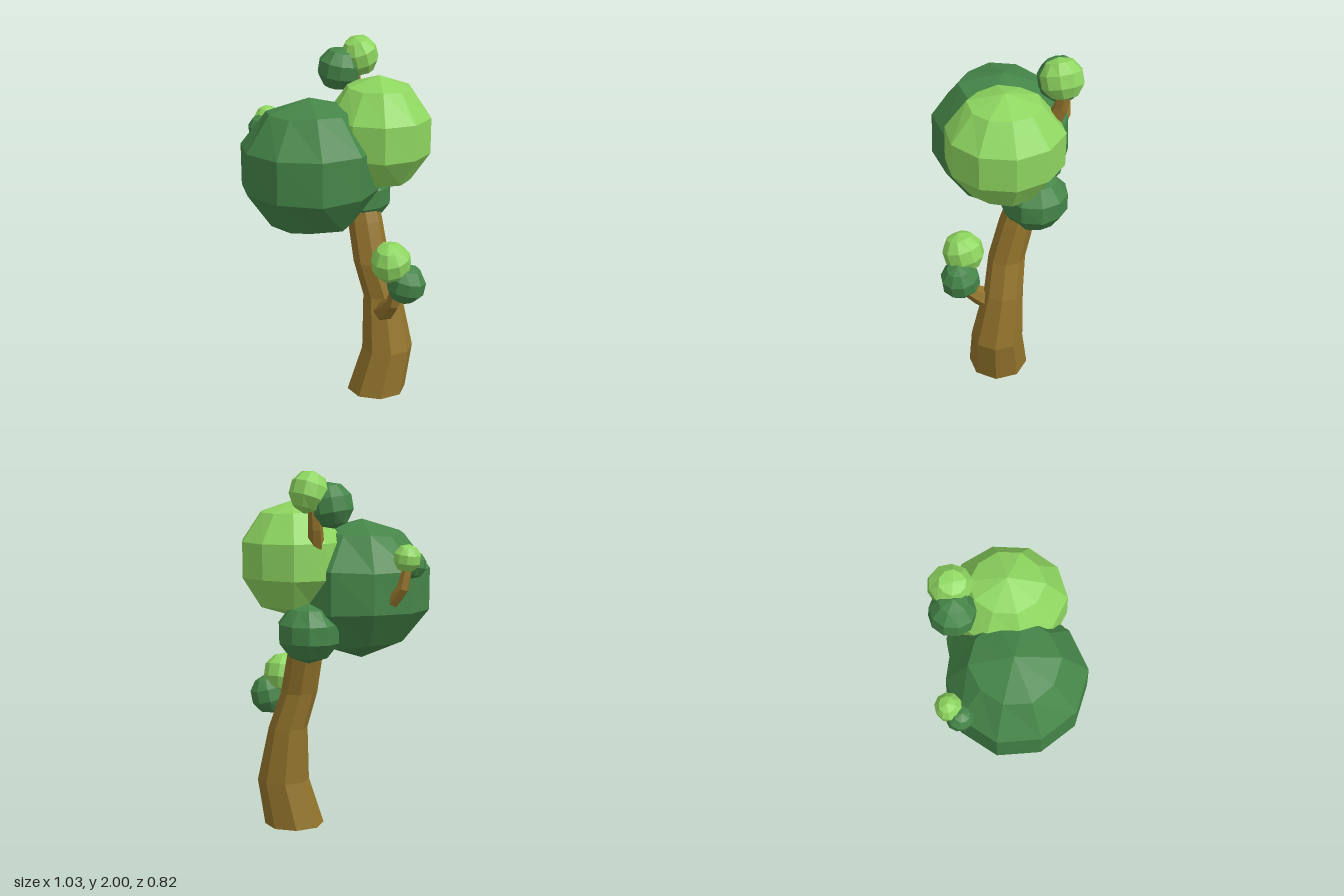
import * as THREE from 'three';

const mat = color => new THREE.MeshStandardMaterial({ color, flatShading: true });

// Slightly uneven faceted foliage ball, sized by its half extents.
// tilt leans the pole about x and z, dent pulls in the side it points to.
function blob(name, material, [x, y, z], [hx, hy, hz], turn, tilt = [0, 0], dent = [0, 0]) {
  const g = new THREE.SphereGeometry(1, 10, 5).rotateY(turn);
  const p = g.attributes.position, v = new THREE.Vector3();
  for (let i = 0; i < p.count; i++) {
    v.fromBufferAttribute(p, i);
    const wobble = 0.025 * Math.sin(7 * v.x + 5 * v.y + 20 * x) * Math.cos(6 * v.z - 4 * v.y);
    v.multiplyScalar(1 + wobble - Math.max(0, v.x * dent[0] + v.z * dent[1]));
    p.setXYZ(i, v.x, v.y, v.z);
  }
  g.rotateX(tilt[0]).rotateZ(tilt[1]).center();
  const m = g.boundingBox.getSize(v);
  g.scale(2 * hx / m.x, 2 * hy / m.y, 2 * hz / m.z);
  g.center();
  const mesh = new THREE.Mesh(g, material);
  mesh.position.set(x, y, z);
  mesh.name = name;
  return mesh;
}

// Tapered limb through rings [x, y, z, radius]; level rings stay horizontal
function limb(name, material, rings, sides, level = false, phase = 0) {
  const pts = rings.map(r => new THREE.Vector3(r[0], r[1], r[2]));
  const pos = [], idx = [], up = new THREE.Vector3(0, 1, 0);
  pts.forEach((p, i) => {
    const dir = pts[Math.min(i + 1, pts.length - 1)].clone().sub(pts[Math.max(i - 1, 0)]).normalize();
    const q = new THREE.Quaternion().setFromUnitVectors(up, level ? up : dir);
    for (let j = 0; j < sides; j++) {
      const a = phase + j / sides * Math.PI * 2, r = rings[i][3];
      const v = new THREE.Vector3(Math.cos(a) * r, 0, Math.sin(a) * r).applyQuaternion(q).add(p);
      pos.push(v.x, v.y, v.z);
      if (i < pts.length - 1) {
        const k = i * sides + j, n = i * sides + (j + 1) % sides;
        idx.push(k, k + sides, n, n, k + sides, n + sides);
      }
    }
  });
  // End caps
  const top = (pts.length - 1) * sides;
  for (let j = 1; j < sides - 1; j++) idx.push(0, j, j + 1, top, top + j + 1, top + j);
  const g = new THREE.BufferGeometry();
  g.setAttribute('position', new THREE.Float32BufferAttribute(pos, 3));
  g.setIndex(idx);
  g.computeVertexNormals();
  const mesh = new THREE.Mesh(g, material);
  mesh.name = name;
  return mesh;
}

export function createModel() {
  const tree = new THREE.Group();
  tree.name = 'tree';
  const bark = mat(0x93742c), dark = mat(0x458548), light = mat(0x8ed660);

  // Leaning trunk
  tree.add(limb('trunk', bark, [
    [0.222, 0, 0.052, 0.167], [0.283, 0.26, 0.058, 0.145], [0.26, 0.57, 0.02, 0.109],
    [0.2, 0.77, 0.0, 0.102], [0.174, 1.0, -0.058, 0.098], [0.165, 1.07, -0.08, 0.095],
  ], 8, true, 0.09));

  // Curved side branches
  tree.add(limb('frontBranch', bark, [
    [0.245, 0.48, 0.08, 0.062], [0.25, 0.52, 0.15, 0.055], [0.27, 0.59, 0.225, 0.042], [0.285, 0.7, 0.25, 0.035],
  ], 6));
  tree.add(limb('topBranch', bark, [
    [0.14, 1.5, -0.16, 0.048], [0.145, 1.61, -0.243, 0.045], [0.155, 1.7, -0.28, 0.04], [0.17, 1.84, -0.31, 0.03],
  ], 6));
  tree.add(limb('backBranch', bark, [
    [-0.24, 1.3, -0.23, 0.044], [-0.265, 1.31, -0.3, 0.04], [-0.305, 1.38, -0.342, 0.034], [-0.335, 1.51, -0.345, 0.024],
  ], 6));

  // Main crown
  tree.add(
    blob('largeDarkFoliage', dark, [-0.145, 1.342, 0.028], [0.372, 0.388, 0.378], 0.3, [0, 0], [-0.04, -0.07]),
    blob('largeLightFoliage', light, [0.232, 1.517, 0.01], [0.283, 0.318, 0.316], 0.17),
    blob('lowerDarkFoliage', dark, [0.172, 1.125, -0.15], [0.165, 0.168, 0.18], 0.157, [0, 0], [0.03, -0.08]),
  );

  // Small tufts at the branch ends
  tree.add(
    blob('topDarkTuft', dark, [0.07, 1.82, -0.28], [0.12, 0.122, 0.122], 0.2, [0.1, -0.15]),
    blob('topLightTuft', light, [0.187, 1.89, -0.28], [0.108, 0.11, 0.115], 0.5, [0.15, 0.3]),
    blob('backLightTuft', light, [-0.33, 1.54, -0.34], [0.075, 0.075, 0.071], 0.1, [-0.1, 0.1]),
    blob('backDarkTuft', dark, [-0.372, 1.5, -0.288], [0.073, 0.073, 0.073], 0.4, [0.2, 0.1]),
    blob('frontLightTuft', light, [0.252, 0.838, 0.24], [0.113, 0.112, 0.115], 0.5, [0.25, 0.2]),
    blob('frontDarkTuft', dark, [0.333, 0.714, 0.258], [0.108, 0.11, 0.108], 0.2, [0.1, -0.2]),
  );
  return tree;
}
